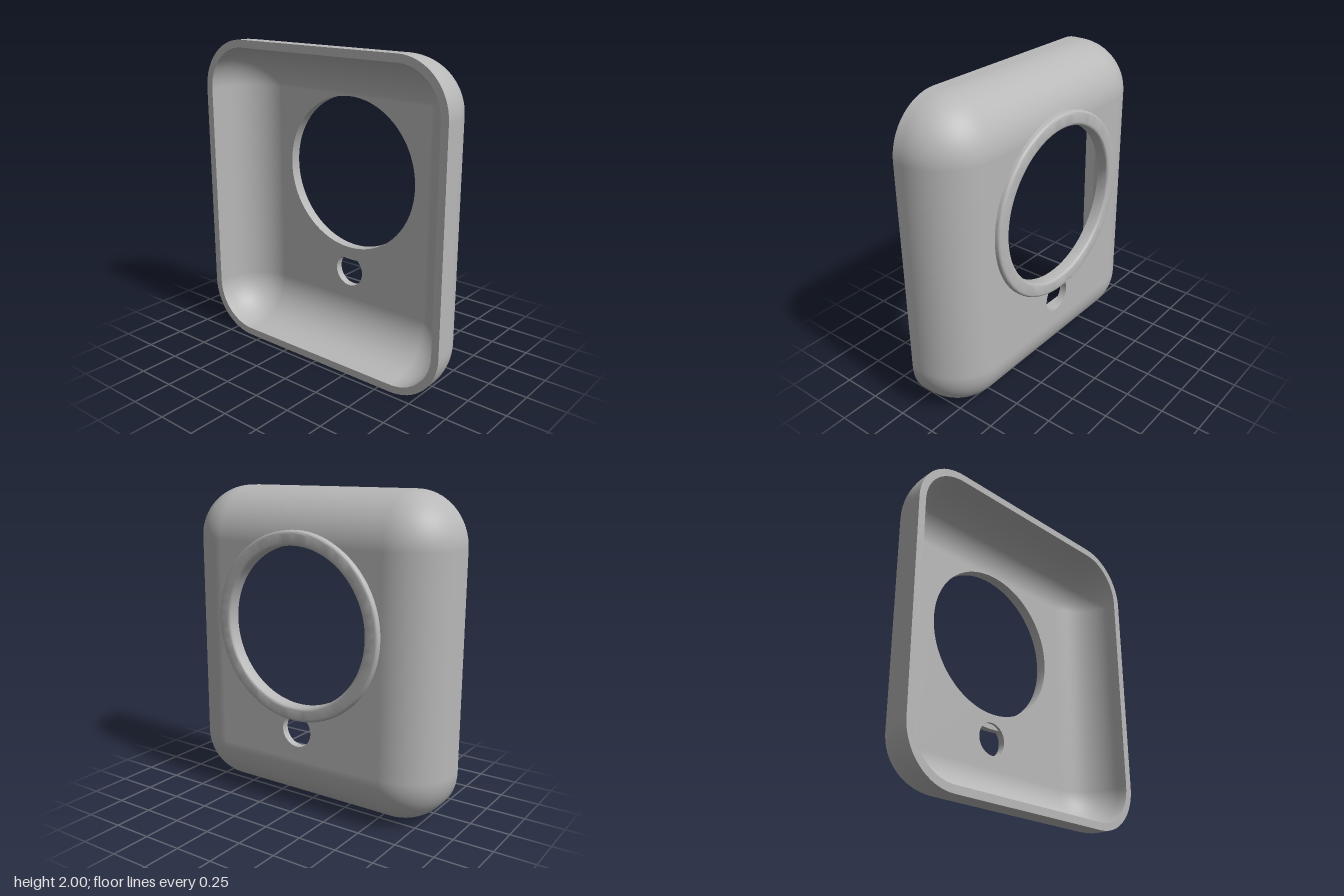
import * as THREE from 'three';
import { toCreasedNormals } from 'three/addons/utils/BufferGeometryUtils.js';

const HALF_Z = 0.915, MID_Y = 1;
const ROUND = 0.328, WALL = 0.048;          // outer fillet radius, wall thickness
const BACK = -0.214, FACE = 0.18, INSIDE = FACE - WALL;
const FLAT_Z = HALF_Z - ROUND, FLAT_Y = 1 - ROUND;
const BIG = { y: 1.176, r: 0.494 }, SMALL = { y: 0.52, r: 0.105 };

// Sweeps a profile of [x, radius, normalX, normalRadial] around a rounded rectangle.
function sweep(profile) {
  const pos = [], nor = [], idx = [], N = 16, loop = [];
  for (let q = 0; q < 4; q++) {
    const sz = q === 0 || q === 3 ? 1 : -1, sy = q < 2 ? 1 : -1;
    for (let k = 0; k <= N; k++) loop.push([sz * FLAT_Z, sy * FLAT_Y, (q + k / N) * Math.PI / 2]);
  }
  const M = loop.length;
  for (const [x, r, nx, nr] of profile) {
    for (const [z, y, a] of loop) {
      const c = Math.cos(a), s = Math.sin(a);
      pos.push(x, MID_Y + y + r * s, z + r * c);
      nor.push(nx, nr * s, nr * c);
    }
  }
  for (let i = 0; i < profile.length - 1; i++) {
    for (let j = 0; j < M; j++) {
      const k = (j + 1) % M, a = i * M, b = a + M;
      idx.push(a + j, b + j, a + k, b + j, b + k, a + k);
    }
  }
  const g = new THREE.BufferGeometry();
  g.setAttribute('position', new THREE.Float32BufferAttribute(pos, 3));
  g.setAttribute('normal', new THREE.Float32BufferAttribute(nor, 3));
  g.setIndex(idx);
  return g;
}

// Straight edge followed by a quarter round that ends at the flat face.
function filletProfile(r, sign) {
  const p = [[BACK, r, 0, sign]];
  for (let i = 0; i <= 20; i++) {
    const t = i / 20 * Math.PI / 2, c = Math.cos(t), s = Math.sin(t);
    p.push([FACE - ROUND + r * s, r * c, sign * s, sign * c]);
  }
  return p;
}

// Revolves [radius, x] points around an x axis at height y.
function revolve(points, y) {
  const g = new THREE.LatheGeometry(points.map(([r, x]) => new THREE.Vector2(r, x)), 96);
  g.rotateZ(-Math.PI / 2);
  g.translate(0, y, 0);
  return toCreasedNormals(g, 0.6);
}

// Flat panel with both round openings, facing +x or -x.
function panel(x, dir) {
  const s = new THREE.Shape([[-1, -1], [1, -1], [1, 1], [-1, 1]]
    .map(([u, v]) => new THREE.Vector2(u * FLAT_Z, MID_Y + v * FLAT_Y)));
  for (const h of [BIG, SMALL]) {
    s.holes.push(new THREE.Path().absarc(0, h.y, h.r, 0, Math.PI * 2, true));
  }
  const g = new THREE.ShapeGeometry(s, 96);
  g.rotateY(dir * Math.PI / 2);
  g.translate(x, 0, 0);
  return g;
}

export function createModel() {
  const model = new THREE.Group();
  const grey = new THREE.MeshStandardMaterial({ color: 0xb8b8b8 });
  grey.name = 'grey';
  const add = (name, geometry) => {
    const m = new THREE.Mesh(geometry, grey);
    m.name = name;
    model.add(m);
  };

  // Hollow rounded case, open at the back
  const inner = ROUND - WALL;
  add('outerShell', sweep(filletProfile(ROUND, 1)));
  add('innerShell', sweep(filletProfile(inner, -1).reverse()));
  add('backRim', sweep([[BACK, inner, -1, 0], [BACK, ROUND, -1, 0]]));
  add('outerFace', panel(FACE, 1));
  add('innerFace', panel(INSIDE, -1));

  // Walls of the two openings
  const ringBack = 0.15;
  add('largeOpeningWall', revolve([[BIG.r, ringBack], [BIG.r, INSIDE]], BIG.y));
  add('smallOpeningWall', revolve([[SMALL.r, FACE], [SMALL.r, INSIDE]], SMALL.y));

  // Raised ring with rounded lips
  const outR = 0.585, top = 0.213, lip = 0.02;
  const ring = [[BIG.r, ringBack], [outR, ringBack]];
  for (const [cx, start] of [[outR - lip, 0], [BIG.r + lip, Math.PI / 2]]) {
    for (let i = 0; i <= 6; i++) {
      const a = start + i / 6 * Math.PI / 2;
      ring.push([cx + lip * Math.cos(a), top - lip + lip * Math.sin(a)]);
    }
  }
  ring.push([BIG.r, ringBack]);
  add('raisedRing', revolve(ring, BIG.y));

  return model;
}
